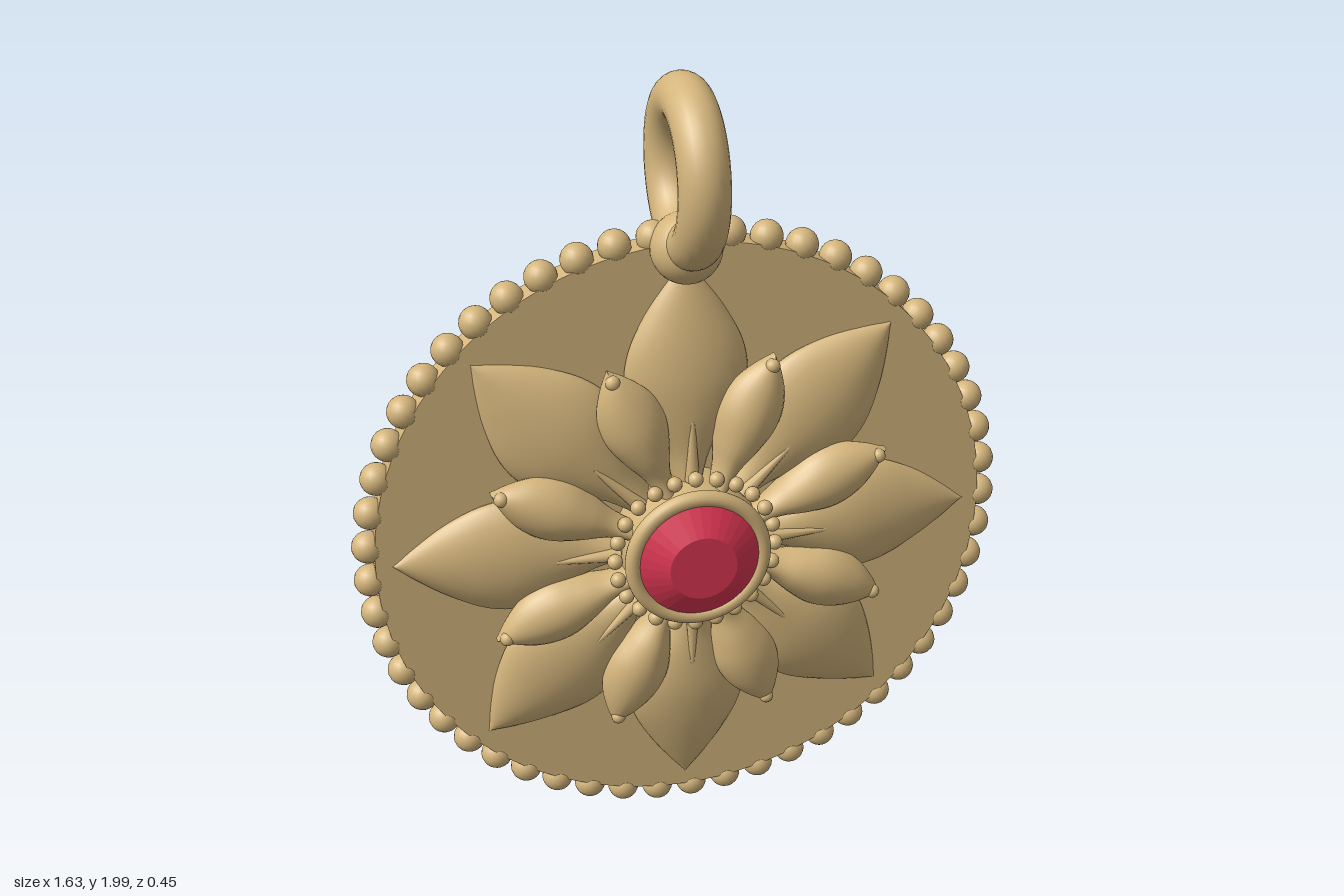
import * as THREE from 'three';

const gold = new THREE.MeshStandardMaterial({ color: 0xd4b57c });
gold.name = 'gold';
const ruby = new THREE.MeshStandardMaterial({ color: 0xdb3652 });
ruby.name = 'ruby';

function add(parent, name, geometry, material, x = 0, y = 0, z = 0) {
  const mesh = new THREE.Mesh(geometry, material);
  mesh.name = name;
  mesh.position.set(x, y, z);
  parent.add(mesh);
  return mesh;
}

// Ring of small balls facing +z
function beadRing(parent, name, count, ringRadius, beadRadius, z, start = 0) {
  const ring = new THREE.Group();
  ring.name = name;
  const ball = new THREE.SphereGeometry(beadRadius, 18, 12);
  for (let i = 0; i < count; i++) {
    const a = start + (i / count) * Math.PI * 2;
    add(ring, 'bead', ball, gold, Math.cos(a) * ringRadius, Math.sin(a) * ringRadius, z);
  }
  parent.add(ring);
}

// Solid petal along +x; stations are [distance, half width, top z, bottom z]
function petalGeometry(stations) {
  const outline = new THREE.CatmullRomCurve3(
    stations.map(([r, w, top]) => new THREE.Vector3(r, w, top)), false, 'centripetal');
  const bottoms = stations.map((s) => s[3]);
  const steps = 28, sides = 24;
  const positions = [], index = [];
  for (let i = 0; i <= steps; i++) {
    const t = i / steps;
    const p = outline.getPoint(t);
    const f = t * (bottoms.length - 1);
    const k = Math.min(Math.floor(f), bottoms.length - 2);
    const low = THREE.MathUtils.lerp(bottoms[k], bottoms[k + 1], f - k);
    const mid = (p.z + low) / 2, half = (p.z - low) / 2;
    for (let j = 0; j < sides; j++) {
      const a = (j / sides) * Math.PI * 2;
      const s = Math.sin(a);
      const lift = Math.sign(s) * Math.pow(Math.abs(s), 1.25);
      positions.push(p.x, Math.max(p.y, 0.0005) * Math.cos(a), mid + half * lift);
      if (i < steps) {
        const n = (j + 1) % sides;
        const b = i * sides, c = b + sides;
        index.push(b + j, b + n, c + j, b + n, c + n, c + j);
      }
    }
  }
  const geometry = new THREE.BufferGeometry();
  geometry.setAttribute('position', new THREE.Float32BufferAttribute(positions, 3));
  geometry.setIndex(index);
  geometry.computeVertexNormals();
  return geometry;
}

export function createModel() {
  const model = new THREE.Group();
  model.name = 'pendant';
  const medal = new THREE.Group();
  medal.name = 'medallion';
  medal.position.y = 0.828;
  model.add(medal);

  // Backing disc and beaded rim
  add(medal, 'disc', new THREE.CylinderGeometry(0.765, 0.765, 0.07, 96), gold, 0, 0, -0.048)
    .rotation.x = Math.PI / 2;
  beadRing(medal, 'rimBeads', 53, 0.778, 0.04, -0.045);

  // Eight broad petals
  const broad = petalGeometry([
    [0.14, 0.03, 0.06, -0.05], [0.24, 0.06, 0.06, -0.06], [0.33, 0.115, 0.065, -0.07],
    [0.42, 0.15, 0.065, -0.07], [0.5, 0.142, 0.055, -0.065], [0.59, 0.1, 0.035, -0.06],
    [0.67, 0.045, 0.01, -0.04], [0.725, 0, -0.012, -0.025],
  ]);
  // Eight narrow petals between them, each ending in a tiny ball
  const narrow = petalGeometry([
    [0.15, 0.02, 0.1, 0.02], [0.22, 0.034, 0.095, 0], [0.29, 0.062, 0.11, -0.02],
    [0.36, 0.08, 0.115, -0.02], [0.43, 0.07, 0.105, -0.01], [0.49, 0.036, 0.085, 0.015],
    [0.53, 0, 0.06, 0.04],
  ]);
  const tip = new THREE.SphereGeometry(0.018, 12, 10);
  const vein = new THREE.CylinderGeometry(0.006, 0.018, 0.16, 10);
  vein.rotateZ(-Math.PI / 2);
  for (let i = 0; i < 8; i++) {
    const a = (i * Math.PI) / 4;
    const big = new THREE.Group();
    big.name = 'broadPetal';
    big.rotation.z = a;
    add(big, 'blade', broad, gold);
    add(big, 'vein', vein, gold, 0.26, 0, 0.06);
    const small = new THREE.Group();
    small.name = 'narrowPetal';
    small.rotation.z = a + Math.PI / 8;
    add(small, 'blade', narrow, gold);
    add(small, 'tipBall', tip, gold, 0.505, 0, 0.068);
    medal.add(big, small);
  }

  // Setting: collar, rounded lip and fine beads
  add(medal, 'collar', new THREE.CylinderGeometry(0.172, 0.18, 0.14, 64), gold, 0, 0, 0.05)
    .rotation.x = Math.PI / 2;
  add(medal, 'settingLip', new THREE.TorusGeometry(0.162, 0.02, 16, 64), gold, 0, 0, 0.12);
  beadRing(medal, 'settingBeads', 24, 0.2, 0.019, 0.092);

  // Cut gem with a flat table
  const gem = new THREE.CylinderGeometry(0.083, 0.15, 0.042, 32).toNonIndexed();
  gem.computeVertexNormals();
  add(medal, 'gem', gem, ruby, 0, 0, 0.154).rotation.x = Math.PI / 2;

  // Hanging loop, seen edge-on from the front, and its joint
  add(model, 'bail', new THREE.TorusGeometry(0.167, 0.06, 24, 64), gold, 0, 1.773, 0)
    .rotation.y = Math.PI / 2;
  add(model, 'bailJoint', new THREE.SphereGeometry(0.086, 28, 18), gold, 0, 1.588, 0);

  return model;
}
